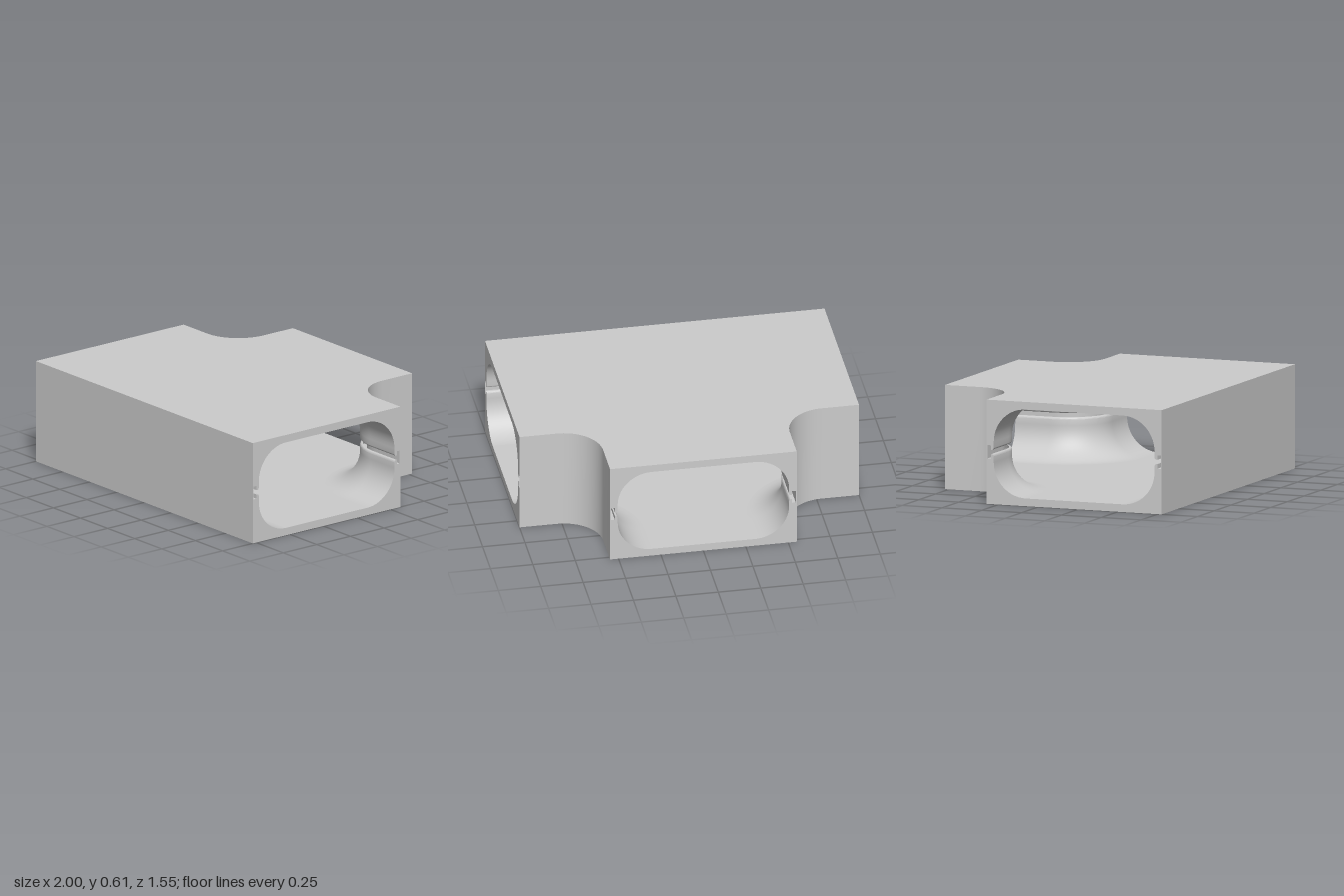
import * as THREE from 'three';
import { toCreasedNormals } from 'three/addons/utils/BufferGeometryUtils.js';

const H = 0.61;        // height
const W = 1.1;         // width of every opening's end face
const Z = 0.775;       // front / back extent
const WALL = 0.045;    // wall thickness
const R = 0.2;         // bore corner radius
const FILLET = 0.23;   // plan radius where branch meets main run
const MID = H / 2;

// Plan paths run counterclockwise seen from above; each station is [x, z, inward nx, inward nz]
function wallPaths() {
  const zb = Z - W, xb = W / 2;
  const front = [[-1, Z, 0, -1], [1, Z, 0, -1]];
  const right = [[1, zb, 0, 1]];
  const steps = 20;
  for (let i = 0; i <= steps; i++) {
    const a = (i / steps) * Math.PI / 2, nx = -Math.sin(a), nz = Math.cos(a);
    right.push([xb + FILLET + FILLET * nx, zb - FILLET + FILLET * nz, nx, nz]);
  }
  right.push([xb, -Z, -1, 0]);
  const left = right.map(([x, z, nx, nz]) => [-x, z, -nx, nz]).reverse();
  return [front, right, left];
}

// Inner wall section from ceiling to floor as [depth from outer face, y], with a T-slot at mid height
function innerProfile() {
  const half = [];
  for (let i = 0; i <= 14; i++) {
    const a = (i / 14) * Math.PI / 2;
    half.push([WALL + R - R * Math.sin(a), H - WALL - R + R * Math.cos(a)]);
  }
  const neck = 0.013, lip = 0.012;
  for (let i = 0; i <= 4; i++) {
    const a = (i / 4) * Math.PI / 2;
    half.push([WALL - lip + lip * Math.cos(a), MID + neck + lip - lip * Math.sin(a)]);
  }
  half.push([0.028, MID + neck], [0.028, MID + 0.039], [0.006, MID + 0.039]);
  return [...half, ...half.map(([d, y]) => [d, H - y]).reverse()];
}

// Sweep a wall section along a plan path
function sweep(path, profile) {
  const pos = [];
  const at = ([x, z, nx, nz], [d, y]) => [x + nx * d, y, z + nz * d];
  for (let i = 0; i < path.length - 1; i++) {
    for (let j = 0; j < profile.length - 1; j++) {
      const a = at(path[i], profile[j]), b = at(path[i + 1], profile[j]);
      const c = at(path[i + 1], profile[j + 1]), d = at(path[i], profile[j + 1]);
      pos.push(...a, ...b, ...c, ...a, ...c, ...d);
    }
  }
  const geo = new THREE.BufferGeometry();
  geo.setAttribute('position', new THREE.Float32BufferAttribute(pos, 3));
  return toCreasedNormals(geo, 0.5);
}

// Flat T-shaped panel, inset from the outer walls, facing up or down
function panel(paths, inset, y, up) {
  const pts = paths.flat().map(([x, z, nx, nz]) =>
    new THREE.Vector2(x + nx * inset, (z + nz * inset) * (up ? -1 : 1)));
  const geo = new THREE.ShapeGeometry(new THREE.Shape(pts));
  geo.rotateX(up ? -Math.PI / 2 : Math.PI / 2);
  return geo.translate(0, y, 0);
}

// End face with the bore and its slots cut out
function endFace(profile) {
  const w = W / 2;
  const shape = new THREE.Shape([[-w, 0], [w, 0], [w, H], [-w, H]].map(p => new THREE.Vector2(...p)));
  const hole = [
    ...profile.map(([d, y]) => new THREE.Vector2(-w + d, y)),
    ...profile.map(([d, y]) => new THREE.Vector2(w - d, y)).reverse(),
  ];
  shape.holes.push(new THREE.Path(hole));
  return new THREE.ShapeGeometry(shape);
}

export function createModel() {
  const group = new THREE.Group();
  group.name = 'teeDuct';
  const material = new THREE.MeshStandardMaterial({ color: 0xcccccc, side: THREE.DoubleSide });
  const add = (name, geo) => {
    const mesh = new THREE.Mesh(geo, material);
    mesh.name = name;
    group.add(mesh);
    return mesh;
  };

  const paths = wallPaths();
  const profile = innerProfile();

  // Outer and inner skins of the three walls
  ['front', 'right', 'left'].forEach((side, i) => {
    add(side + 'OuterWall', sweep(paths[i], [[0, 0], [0, H]]));
    add(side + 'InnerWall', sweep(paths[i], profile));
  });

  // Top and bottom plates, outside and inside
  add('topPlate', panel(paths, 0, H, true));
  add('bottomPlate', panel(paths, 0, 0, false));
  add('boreCeiling', panel(paths, WALL + R, H - WALL, false));
  add('boreFloor', panel(paths, WALL + R, WALL, true));

  // Rims around the three openings
  const zc = Z - W / 2;
  [['rightRim', 1, zc, Math.PI / 2], ['leftRim', -1, zc, -Math.PI / 2], ['branchRim', 0, -Z, Math.PI]]
    .forEach(([name, x, z, turn]) => {
      const rim = add(name, endFace(profile));
      rim.position.set(x, 0, z);
      rim.rotation.y = turn;
    });

  return group;
}
